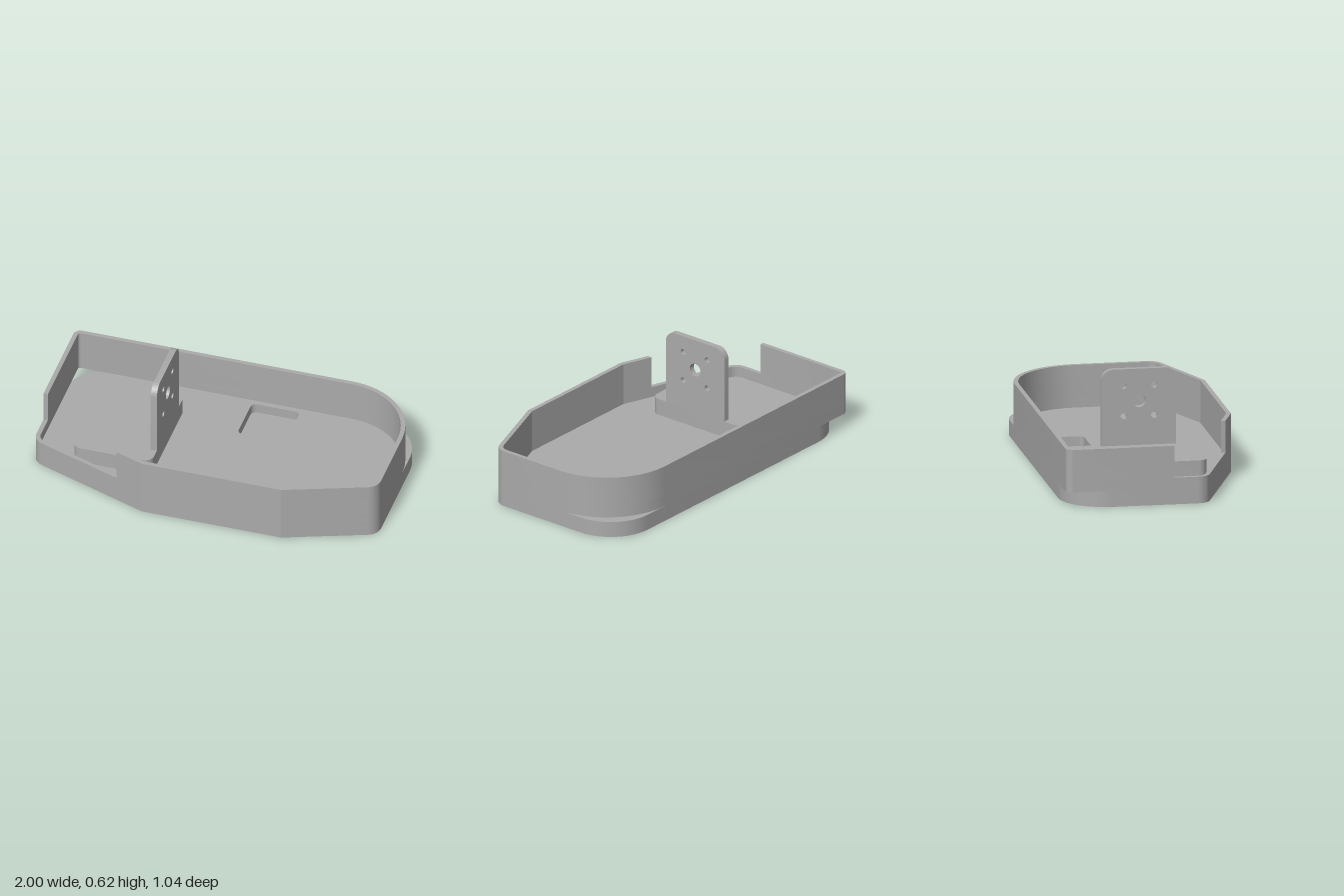
import * as THREE from 'three';
import { toCreasedNormals } from 'three/addons/utils/BufferGeometryUtils.js';

// Closed outline from corners [x, y, radius]; radius 0 keeps the corner sharp.
function roundedOutline(corners, steps = 16) {
  const out = [];
  const n = corners.length;
  corners.forEach(([x, y, r], i) => {
    const p = new THREE.Vector2(x, y);
    if (!r) return out.push(p);
    const [ax, ay] = corners[(i + n - 1) % n];
    const [bx, by] = corners[(i + 1) % n];
    const a = new THREE.Vector2(ax, ay).sub(p).normalize();
    const b = new THREE.Vector2(bx, by).sub(p).normalize();
    const half = Math.acos(a.dot(b)) / 2;
    const centre = a.clone().add(b).normalize().multiplyScalar(r / Math.sin(half)).add(p);
    const d = r / Math.tan(half);
    const start = a.multiplyScalar(d).add(p).sub(centre).angle();
    let sweep = b.multiplyScalar(d).add(p).sub(centre).angle() - start;
    sweep = Math.atan2(Math.sin(sweep), Math.cos(sweep));
    for (let k = 0; k <= steps; k++) {
      const t = start + (sweep * k) / steps;
      out.push(new THREE.Vector2(centre.x + r * Math.cos(t), centre.y + r * Math.sin(t)));
    }
  });
  return out;
}

// Moves a counter-clockwise outline inward by t.
function inset(corners, t) {
  const n = corners.length;
  const normal = (a, b) => new THREE.Vector2(a[1] - b[1], b[0] - a[0]).normalize();
  return corners.map((c, i) => {
    const n1 = normal(corners[(i + n - 1) % n], c);
    const n2 = normal(c, corners[(i + 1) % n]);
    const s = t / (1 + n1.dot(n2));
    return [c[0] + (n1.x + n2.x) * s, c[1] + (n1.y + n2.y) * s, c[2] ? Math.max(c[2] - t, 0.01) : 0];
  });
}

const rect = (x0, y0, x1, y1, r) => [[x0, y0, r], [x1, y0, r], [x1, y1, r], [x0, y1, r]];

function extrude(corners, holes, depth) {
  const shape = new THREE.Shape(roundedOutline(corners));
  for (const h of holes) shape.holes.push(h);
  return new THREE.ExtrudeGeometry(shape, { depth, bevelEnabled: false, curveSegments: 20 });
}

export function createModel() {
  const group = new THREE.Group();
  const grey = new THREE.MeshStandardMaterial({ color: 0xaaaaaa });
  grey.name = 'grey';

  const add = (name, geometry) => {
    const mesh = new THREE.Mesh(toCreasedNormals(geometry, 0.25), grey);
    mesh.name = name;
    group.add(mesh);
  };
  // Plan outlines use x and -z, raised from y0 to y1.
  const addSlab = (name, corners, holes, y0, y1) => {
    const g = extrude(corners, holes.map((h) => new THREE.Path(roundedOutline(h))), y1 - y0);
    add(name, g.rotateX(-Math.PI / 2).translate(0, y0, 0));
  };

  const FLOOR = 0.09, NOTCH = 0.15, RIM = 0.33, T = 0.025, Z = 0.522;
  const plan = (backRight, backLeft) => [
    [-1, -0.267, 0.08], [-0.3, -Z, 0], [0.5, -Z, 0], [1, -0.34, 0.08],
    [1, Z, backLeft], [-1, Z, backRight],
  ];

  // Base tray floor with a square pocket
  const base = plan(0.26, 0.26);
  const pocket = rect(0.03, 0.19, 0.305, 0.467, 0.03);
  addSlab('baseBottom', base, [], 0, 0.035);
  addSlab('baseFloor', base, [pocket], 0.035, FLOOR);

  // Surrounding wall: a full lower ring and an upper part with an open corner
  const outer = plan(0.04, 0.41);
  const inner = inset(outer, T);
  addSlab('lowerWall', outer, [inner], FLOOR, NOTCH);

  const cutX = -0.465, cutY = -0.08;
  const edgeY = (c) => c[0][1] + ((c[1][1] - c[0][1]) * (cutX - c[0][0])) / (c[1][0] - c[0][0]);
  const run = (c) => [[cutX, edgeY(c), 0], ...c.slice(1), [c[5][0], cutY, 0]];
  addSlab('upperWall', [...run(outer), ...run(inner).reverse()], [], NOTCH, RIM);

  // Raised platform
  addSlab('platform', rect(-0.765, -0.31, -0.31, 0.318, 0.05), [], FLOOR, 0.185);

  // Upright mounting plate with one large and four small holes
  const plate = [[-0.208, 0.185, 0], [0.208, 0.185, 0], [0.208, 0.615, 0.065], [-0.208, 0.615, 0.065]];
  const hole = (x, y, r) => new THREE.Path().absarc(x, y, r, 0, Math.PI * 2, true);
  const holes = [hole(0, 0.435, 0.038)];
  for (const x of [-0.085, 0.085]) for (const y of [0.35, 0.52]) holes.push(hole(x, y, 0.017));
  add('mountingPlate', extrude(plate, holes, 0.035).rotateY(Math.PI / 2).translate(-0.345, 0, 0));

  return group;
}
